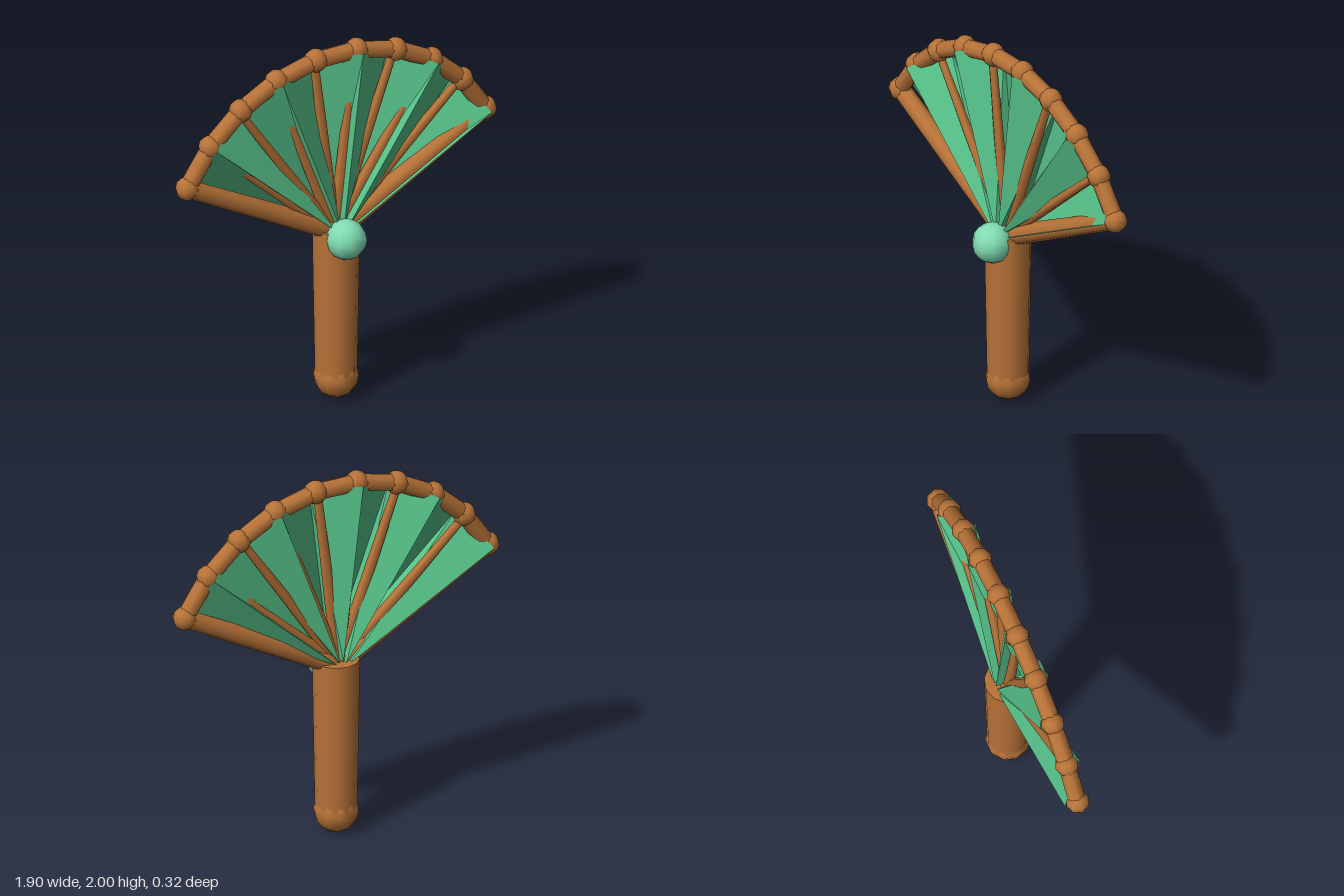
import * as THREE from 'three';

const wood = new THREE.MeshStandardMaterial({ color: 0xb87338 });
wood.name = 'wood';
const cloth = new THREE.MeshStandardMaterial({ color: 0x55c088, flatShading: true, side: THREE.DoubleSide });
cloth.name = 'greenCloth';
const jade = new THREE.MeshStandardMaterial({ color: 0x7fdbb2 });
jade.name = 'paleJade';

const HUB = new THREE.Vector3(0, 0.937, -0.04);
const RADIUS = 1.007, STEP = 0.2409, JOINTS = 10, DEPTH = 0.07;

const angleAt = i => (i - (JOINTS - 1) / 2) * STEP;
// point on the fan at distance d from the hub, along spoke i
const spoke = (i, d, dz = 0) => new THREE.Vector3(
  HUB.x + Math.sin(angleAt(i)) * d, HUB.y + Math.cos(angleAt(i)) * d, HUB.z + dz);

export function createModel() {
  const root = new THREE.Group();
  root.name = 'foldingFan';

  const add = (name, geometry, material) => {
    const mesh = new THREE.Mesh(geometry, material);
    mesh.name = name;
    root.add(mesh);
    return mesh;
  };
  const ball = (name, p, r, material, w = 8, h = 6) =>
    add(name, new THREE.SphereGeometry(r, w, h), material).position.copy(p);
  const rod = (name, a, b, rA, rB, sides) => {
    const dir = b.clone().sub(a);
    const mesh = add(name, new THREE.CylinderGeometry(rB, rA, dir.length(), sides), wood);
    mesh.position.copy(a).addScaledVector(dir, 0.5);
    mesh.quaternion.setFromUnitVectors(new THREE.Vector3(0, 1, 0), dir.normalize());
    return mesh;
  };

  // handle with rounded end, and the pivot stone on its front
  rod('handle', new THREE.Vector3(0, 0.12, HUB.z), new THREE.Vector3(0, 0.97, HUB.z), 0.108, 0.122, 12);
  ball('handleEnd', new THREE.Vector3(0, 0.118, HUB.z), 0.117, wood, 10, 8);
  ball('pivotStone', new THREE.Vector3(0, 0.93, 0.06), 0.107, jade, 10, 8);

  // pleated cloth, ridges alternating back and front
  const positions = [], index = [];
  for (let i = 0; i < JOINTS; i++) {
    const dz = i % 2 ? DEPTH : -DEPTH;
    positions.push(...spoke(i, 0.04, dz), ...spoke(i, RADIUS, dz));
    if (i) {
      const k = 2 * i;
      index.push(k - 2, k, k + 1, k - 2, k + 1, k - 1);
    }
  }
  const pleats = new THREE.BufferGeometry();
  pleats.setAttribute('position', new THREE.Float32BufferAttribute(positions, 3));
  pleats.setIndex(index);
  pleats.computeVertexNormals();
  add('pleatedCloth', pleats, cloth);

  // rim joints, rim bars, guard sticks and thin ribs
  for (let i = 0; i < JOINTS; i++) {
    const tip = spoke(i, RADIUS);
    const outer = i === 0 || i === JOINTS - 1;
    ball('rimJoint', tip, 0.062, wood);
    if (i) rod('rimBar', spoke(i - 1, RADIUS), tip, 0.046, 0.046, 8);
    if (outer) {
      rod('guardStick', HUB, tip, 0.056, 0.048, 8);
    } else {
      const rib = rod('rib', HUB, tip, 0.034, 0.022, 6);
      rib.position.x -= 0.01 * Math.cos(angleAt(i));
      rib.position.y += 0.01 * Math.sin(angleAt(i));
    }
  }
  return root;
}
